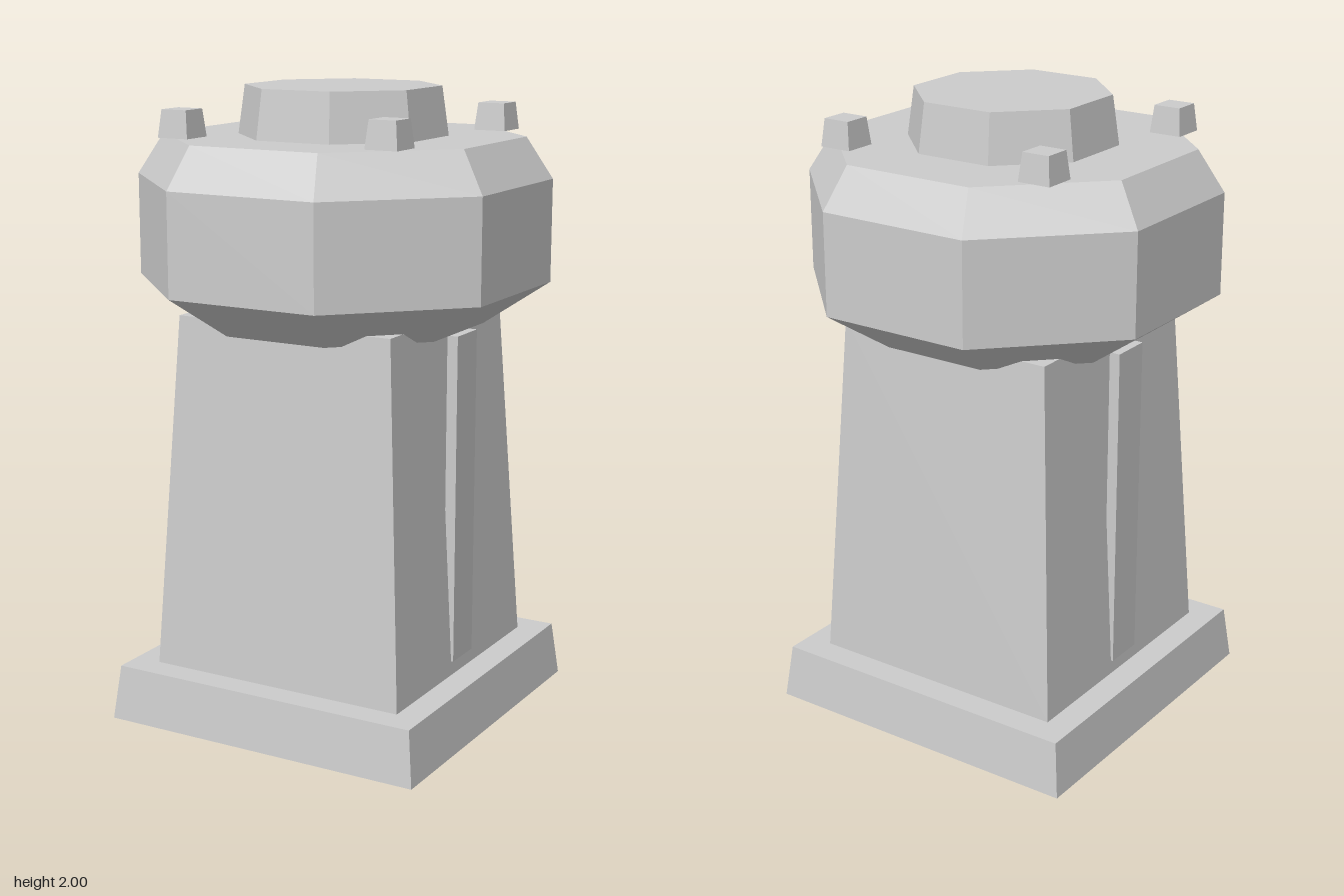
import * as THREE from 'three';

const stone = new THREE.MeshStandardMaterial({ color: 0xcccccc, flatShading: true });
stone.name = 'stone grey';

// Closed prism with flat sides facing the axes; profile is [half width, y] from bottom to top.
function tapered(name, sides, profile) {
  const toRadius = 1 / Math.cos(Math.PI / sides);
  const rings = profile.map(([half, y]) => new THREE.Vector2(half * toRadius, y));
  const points = [
    new THREE.Vector2(0, profile[0][1]),
    ...rings,
    new THREE.Vector2(0, profile[profile.length - 1][1]),
  ];
  const mesh = new THREE.Mesh(new THREE.LatheGeometry(points, sides, Math.PI / sides), stone);
  mesh.name = name;
  return mesh;
}

export function createModel() {
  const tower = new THREE.Group();
  tower.name = 'tower';

  // Square plinth and tapering shaft
  tower.add(tapered('plinth', 4, [[0.54, 0], [0.52, 0.175]]));
  tower.add(tapered('shaft', 4, [[0.433, 0.175], [0.37, 1.305]]));

  // Octagonal head with bevelled rims, and the raised cap on it
  tower.add(tapered('head', 8, [[0.41, 1.265], [0.6, 1.4], [0.6, 1.72], [0.523, 1.848]]));
  tower.add(tapered('cap', 8, [[0.303, 1.848], [0.283, 2]]));

  // Upright strips on the two sides
  for (const side of [-1, 1]) {
    const strip = new THREE.Mesh(new THREE.BoxGeometry(0.035, 1.045, 0.132), stone);
    strip.name = side > 0 ? 'leftStrip' : 'rightStrip';
    strip.position.set(side * 0.4205, 0.7425, 0);
    tower.add(strip);
  }

  // Small blocks on the four diagonals of the head
  for (const x of [-1, 1]) {
    for (const z of [-1, 1]) {
      const block = tapered('cornerBlock', 4, [[0.053, 1.852], [0.044, 1.937]]);
      block.position.set(x * 0.356, 0, z * 0.356);
      tower.add(block);
    }
  }
  return tower;
}
